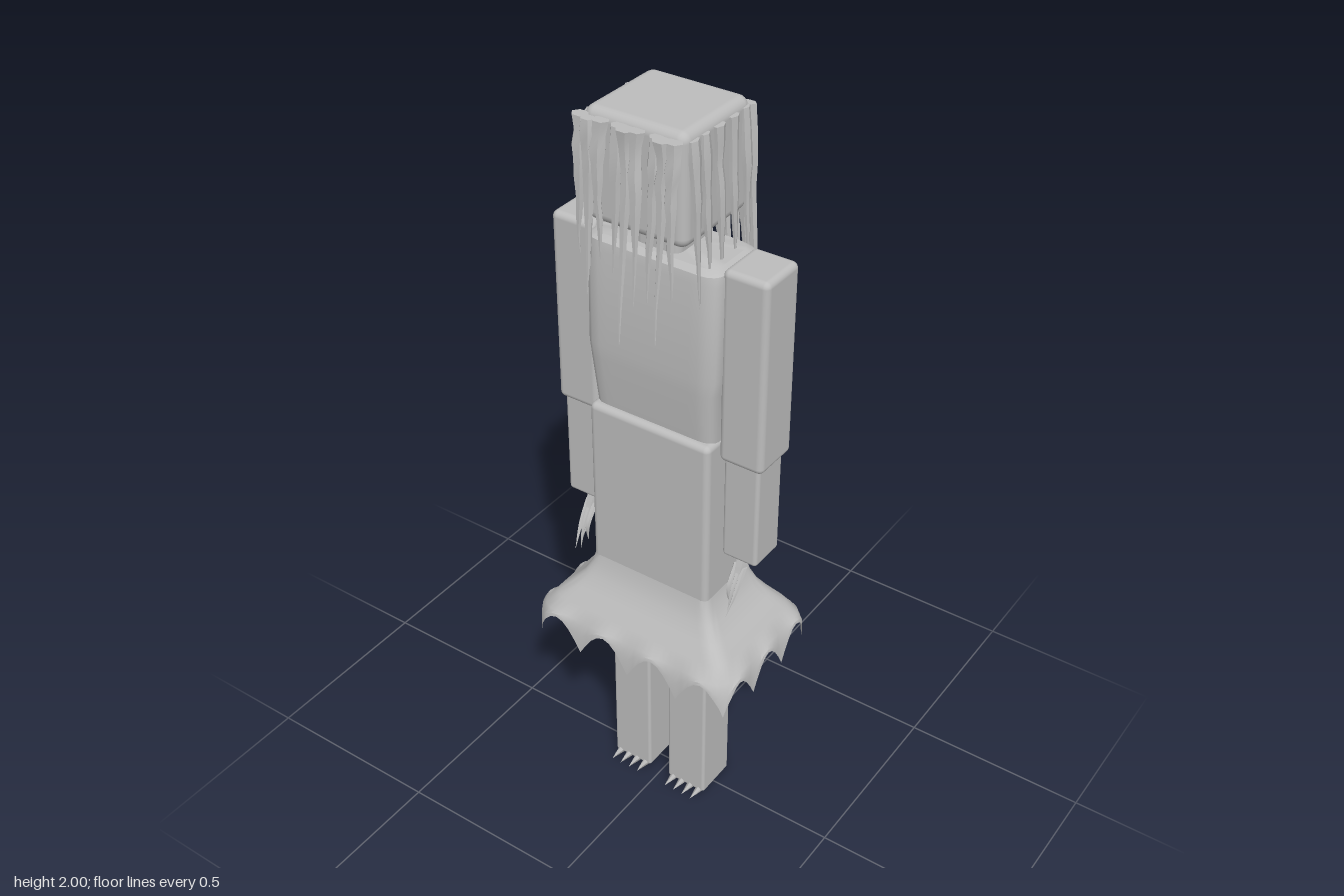
import * as THREE from 'three';
import { toCreasedNormals } from 'three/addons/utils/BufferGeometryUtils.js';
import { RoundedBoxGeometry } from 'three/addons/geometries/RoundedBoxGeometry.js';

const grey = new THREE.MeshStandardMaterial({ color: 0xbcbcbc, side: THREE.DoubleSide });
grey.name = 'plain grey';

let seed = 7;
const rand = () => ((seed = (seed * 16807) % 2147483647) / 2147483647);

function add(parent, name, geometry, x = 0, y = 0, z = 0) {
  const mesh = new THREE.Mesh(geometry, grey);
  mesh.name = name;
  mesh.position.set(x, y, z);
  parent.add(mesh);
  return mesh;
}

// rounded box given by its limits
function box(parent, name, x0, x1, y0, y1, z0, z1, r = 0.015) {
  return add(parent, name, new RoundedBoxGeometry(x1 - x0, y1 - y0, z1 - z0, 3, r),
    (x0 + x1) / 2, (y0 + y1) / 2, (z0 + z1) / 2);
}

// rounded rectangle walked at even steps; half sizes w and d, nx and nz steps per side
function ring(w, d, y, r, nx, nz, hem = () => 0) {
  const corners = [[-w, d], [w, d], [w, -d], [-w, -d]];
  const pts = [];
  corners.forEach(([ax, az], s) => {
    const [bx, bz] = corners[(s + 1) % 4];
    const n = s % 2 ? nz : nx;
    for (let i = 0; i < n; i++) {
      const x = ax + (bx - ax) * i / n, z = az + (bz - az) * i / n;
      const cx = THREE.MathUtils.clamp(x, r - w, w - r), cz = THREE.MathUtils.clamp(z, r - d, d - r);
      const l = Math.hypot(x - cx, z - cz) || 1;
      pts.push(new THREE.Vector3(cx + (x - cx) / l * r, y + hem(pts.length), cz + (z - cz) / l * r));
    }
  });
  return pts;
}

// skin over rings listed from bottom to top
function loft(rings, capBottom = true, capTop = true, crease = 0.6) {
  const n = rings[0].length, pos = [], idx = [];
  rings.forEach(r => r.forEach(p => pos.push(p.x, p.y, p.z)));
  for (let j = 0; j < rings.length - 1; j++) for (let i = 0; i < n; i++) {
    const a = j * n + i, b = j * n + (i + 1) % n;
    idx.push(a, b, b + n, a, b + n, a + n);
  }
  const cap = (j, up) => {
    const c = new THREE.Vector3();
    rings[j].forEach(p => c.addScaledVector(p, 1 / n));
    const k = pos.length / 3;
    pos.push(c.x, c.y, c.z);
    for (let i = 0; i < n; i++) {
      const a = j * n + i, b = j * n + (i + 1) % n;
      up ? idx.push(a, b, k) : idx.push(b, a, k);
    }
  };
  if (capBottom) cap(0, false);
  if (capTop) cap(rings.length - 1, true);
  const g = new THREE.BufferGeometry();
  g.setAttribute('position', new THREE.Float32BufferAttribute(pos, 3));
  g.setIndex(idx);
  g.computeVertexNormals();
  return toCreasedNormals(g, crease);
}

// tapering strand from a root to a tip through given points, w and d are half widths
function strand(points, w, d, wobble = 0) {
  const curve = new THREE.CatmullRomCurve3(points.map(p => new THREE.Vector3(...p)));
  const rings = [], steps = 8;
  for (let j = 0; j <= steps; j++) {
    const t = 1 - j / steps, c = curve.getPoint(t);
    const k = Math.max(0.06, 1 - t ** 1.8) * (1 + wobble * (rand() - 0.5));
    const shift = wobble * (rand() - 0.5) * Math.min(w, d);
    const pts = [];
    for (let i = 0; i < 6; i++) {
      const a = -i / 6 * Math.PI * 2;
      pts.push(new THREE.Vector3(c.x + shift + Math.cos(a) * w * k, c.y, c.z + Math.sin(a) * d * k));
    }
    rings.push(pts);
  }
  return loft(rings, true, true, 0.7);
}

function hair() {
  const g = new THREE.Group();
  g.name = 'hair';
  // three heavy clumps hanging over the face
  const clumps = [[-0.102, [1.66, 1.57, 1.66]], [-0.005, [1.64, 1.48, 1.58]], [0.088, [1.6, 1.51, 1.62]]];
  for (const [cx, tips] of clumps) tips.forEach((tip, i) => {
    const x = cx + (i - 1) * 0.024, z = 0.15 + (i === 1 ? 0.008 : 0);
    const out = 0.16 + (1.7 - tip) * 0.16;
    add(g, 'frontLock', strand([[x, 1.985, z], [x, 1.85, 0.163], [x + (i - 1) * 0.006, tip, out]], 0.02, 0.016, 0.4));
  });
  // long curtain down the back
  for (let i = 0; i < 13; i++) {
    const u = i / 6 - 1;
    const tip = 1.36 + 0.09 * (i % 3) + 0.05 * rand();
    add(g, 'backLock', strand([[u * 0.125, 1.98, -0.108], [u * 0.137, 1.72, -0.114], [u * 0.16, tip, -0.12]],
      0.018, 0.011, 0.4));
  }
  // short locks at both sides
  for (const s of [-1, 1]) [-0.085, -0.035, 0.02, 0.07, 0.11].forEach((z, i) => {
    const tip = 1.58 + 0.04 * (i % 2);
    add(g, 'sideLock', strand([[s * 0.132, 1.98, z], [s * 0.142, 1.8, z], [s * 0.148, tip, z - 0.004]],
      0.012, 0.017, 0.4));
  });
  return g;
}

function arm() {
  const g = new THREE.Group();
  box(g, 'upperArm', 0.175, 0.295, 1.155, 1.667, -0.07, 0.062, 0.016);
  box(g, 'forearm', 0.185, 0.283, 0.87, 1.2, -0.052, 0.052, 0.01);
  // thin clawed hand reaching forward
  add(g, 'palm', strand([[0.228, 0.885, 0.005], [0.228, 0.82, 0.035], [0.228, 0.74, 0.08]], 0.019, 0.024));
  for (const [dx, y, z] of [[-0.012, 0.735, 0.062], [0, 0.72, 0.085], [0.01, 0.725, 0.1]])
    add(g, 'finger', strand([[0.228 + dx, 0.84, 0.03], [0.228 + dx, 0.785, 0.065], [0.226 + dx * 0.6, y, z]], 0.008, 0.01));
  return g;
}

function leg() {
  const g = new THREE.Group();
  box(g, 'leg', 0.03, 0.148, 0.008, 0.68, -0.062, 0.06, 0.008);
  // clawed toes
  for (let i = 0; i < 4; i++) {
    const toe = new THREE.ConeGeometry(0.012, 0.055, 6).rotateX(Math.PI / 2);
    add(g, 'toe', toe, 0.047 + i * 0.028, 0.0115, 0.074);
  }
  return g;
}

export function createModel() {
  const model = new THREE.Group();
  model.name = 'figure';

  // head and neck
  box(model, 'head', -0.133, 0.133, 1.73, 2, -0.11, 0.142, 0.025);
  box(model, 'neck', -0.06, 0.06, 1.6, 1.76, -0.06, 0.06, 0.02);
  model.add(hair());

  // chest narrows below the ribs and tucks into the waist
  const R = (w, d, y, r) => ring(w, d, y, r, 16, 16);
  add(model, 'chest', loft([R(0.168, 0.078, 1.17, 0.03), R(0.176, 0.096, 1.34, 0.03), R(0.182, 0.098, 1.38, 0.035),
    R(0.184, 0.094, 1.63, 0.04), R(0.182, 0.09, 1.652, 0.04), R(0.165, 0.075, 1.664, 0.035)]));
  box(model, 'waist', -0.173, 0.173, 0.66, 1.205, -0.1, 0.1, 0.016);

  // flared skirt with a scalloped, pointed hem
  const hem = i => 0.085 * Math.abs(Math.sin(Math.PI * i / 8));
  const S = (w, d, y, r, h) => ring(w, d, y, r, 32, 24, h);
  add(model, 'skirt', loft([
    S(0.3, 0.2, 0.48, 0.045, hem),
    S(0.298, 0.198, 0.53, 0.045, i => hem(i) * 0.5),
    S(0.288, 0.19, 0.575, 0.045), S(0.262, 0.168, 0.61, 0.04), S(0.228, 0.142, 0.645, 0.035),
    S(0.199, 0.12, 0.68, 0.028), S(0.18, 0.106, 0.715, 0.02), S(0.173, 0.1, 0.74, 0.016)], false, false, 0.9));

  // limbs, mirrored
  for (const [name, make] of [['Arm', arm], ['Leg', leg]]) for (const side of [1, -1]) {
    const limb = make();
    limb.name = (side > 0 ? 'left' : 'right') + name;
    limb.scale.x = side;
    model.add(limb);
  }
  return model;
}
